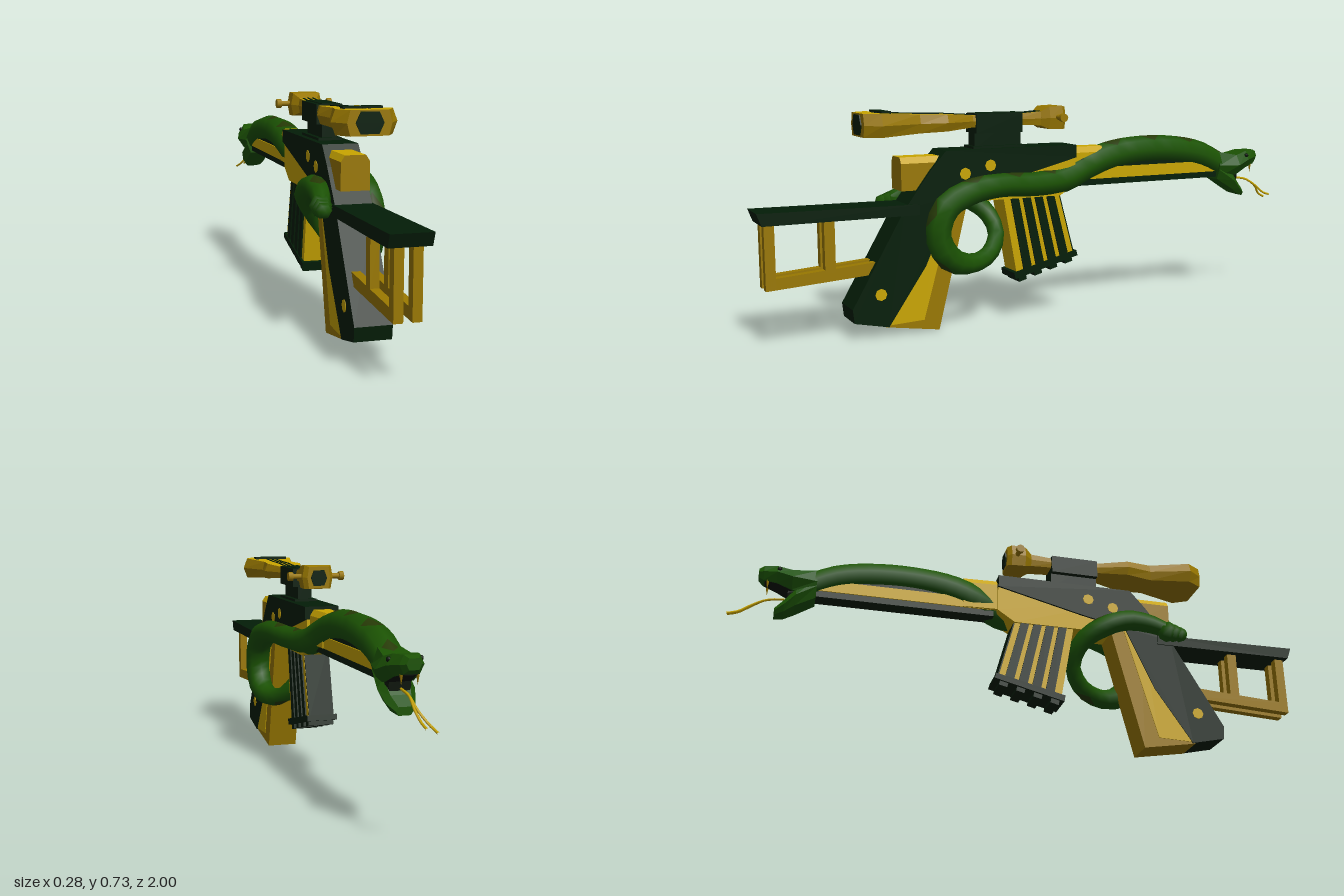
import * as THREE from 'three';

const mat = (name, color) => {
  const m = new THREE.MeshStandardMaterial({ color });
  m.name = name;
  return m;
};

export function createModel() {
  const root = new THREE.Group();
  root.name = 'serpentRifle';
  const dark = mat('dark green', 0x031d07);
  const gold = mat('bright gold', 0xc9a500);
  const dull = mat('dull gold', 0x997800);
  const green = mat('snake green', 0x1b5203);
  const olive = mat('diamond olive', 0x263a06);
  const maw = mat('mouth black green', 0x061004);

  const add = (name, geometry, material, parent = root) => {
    const mesh = new THREE.Mesh(geometry, material);
    mesh.name = name;
    parent.add(mesh);
    return mesh;
  };
  const box = (name, m, x, y, z, w, h, d) =>
    add(name, new THREE.BoxGeometry(w, h, d), m).position.set(x, y, z);

  // Side outline of [z, y] points, extruded across x
  const slab = (name, m, pts, width, x = 0) => {
    const shape = new THREE.Shape(pts.map(p => new THREE.Vector2(p[0], p[1])));
    const g = new THREE.ExtrudeGeometry(shape, { depth: width, bevelEnabled: false });
    g.translate(0, 0, -width / 2).rotateY(-Math.PI / 2).translate(x, 0, 0);
    return add(name, g, m);
  };

  // Flat-shaded loft: rings ordered along +z, points counter-clockwise seen from +z.
  // Sides listed in lit take the second material.
  const loft = (name, m, rings, parent = root, lit = []) => {
    const pos = [], n = rings[0].length, last = rings.length - 1;
    const g = new THREE.BufferGeometry();
    const tri = (...v) => v.forEach(p => pos.push(...p));
    for (let r = 0; r < last; r++) for (let i = 0; i < n; i++) {
      const j = (i + 1) % n, A = rings[r], B = rings[r + 1];
      g.addGroup(pos.length / 3, 6, lit.includes(i) ? 1 : 0);
      tri(A[i], A[j], B[i]);
      tri(A[j], B[j], B[i]);
    }
    g.addGroup(pos.length / 3, (n - 2) * 6, 0);
    for (let i = 1; i < n - 1; i++) {
      tri(rings[0][0], rings[0][i + 1], rings[0][i]);
      tri(rings[last][0], rings[last][i], rings[last][i + 1]);
    }
    g.setAttribute('position', new THREE.Float32BufferAttribute(pos, 3));
    g.computeVertexNormals();
    return add(name, g, [m, gold], parent);
  };
  // Six-sided ring from [z, half width, bottom, top]
  const hex = (k = 0.86) => ([z, w, b, t]) => [[w, (b + t) / 2, z], [k * w, t, z], [-k * w, t, z],
    [-w, (b + t) / 2, z], [-k * w, b, z], [k * w, b, z]];

  // Frame and rear grip
  slab('frame', dark, [[0.71, 0.1], [0.705, 0.055], [0.59, 0.03], [0.46, 0.22], [0.36, 0.44], [0.2, 0.475],
    [-0.1, 0.55], [-0.1, 0.593], [0.385, 0.593], [0.44, 0.53], [0.53, 0.41]], 0.118);
  slab('receiver', gold, [[0.42, 0.42], [-0.04, 0.42], [-0.1, 0.46], [-0.1, 0.56], [0.4, 0.56]], 0.104);

  // Front grip with bright side panels
  slab('frontGrip', dull, [[0.6, 0.03], [0.415, 0], [0.305, 0.44], [0.42, 0.46]], 0.108);
  for (const s of [-1, 1]) {
    slab('gripPanel', gold, [[0.59, 0.035], [0.468, 0.04], [0.355, 0.44], [0.42, 0.45]], 0.004, s * 0.0545);
  }

  // Chamfered housing showing behind and ahead of the frame
  const house = (z, w, t) => [[w, 0.468, z], [w, t - 0.02, z], [w - 0.013, t, z],
    [-w + 0.013, t, z], [-w, t - 0.02, z], [-w, 0.468, z]];
  loft('frontHousing', gold, [house(-0.22, 0.036, 0.583), house(-0.09, 0.042, 0.583)]);
  loft('rearHousing', dull, [house(0.38, 0.046, 0.576), house(0.535, 0.046, 0.576)], root, [1, 2, 3]);

  // Rivets
  for (const [z, y] of [[0.318, 0.515], [0.227, 0.538], [0.615, 0.14]]) {
    const rivet = add('rivet', new THREE.CylinderGeometry(0.02, 0.02, 0.121, 8), gold);
    rivet.rotation.z = Math.PI / 2;
    rivet.position.set(0, y, z);
  }

  // Shoulder stock
  slab('stockBar', dark, [[1, 0.43], [0.985, 0.39], [0.48, 0.39], [0.48, 0.425]], 0.126);
  for (const x of [-0.027, 0.027]) {
    slab('stockEndPost', dull, [[0.975, 0.395], [0.975, 0.184], [0.943, 0.187], [0.943, 0.395]], 0.028, x);
    box('stockMidPost', dull, x, 0.31, 0.772, 0.028, 0.17, 0.034);
    slab('stockRail', dull, [[0.975, 0.184], [0.55, 0.21], [0.55, 0.25], [0.975, 0.22]], 0.028, x);
  }

  // Barrel
  box('barrel', dark, 0, 0.485, -0.45, 0.056, 0.08, 0.68);
  for (const s of [-1, 1]) box('barrelStripe', gold, s * 0.029, 0.487, -0.44, 0.006, 0.04, 0.64);

  // Magazine, laid out in a slanted (u, v) frame
  const magPoint = (u, v) => [(0.175 - 0.205 * u) * (1 - v) + (0.125 - 0.22 * u) * v,
    (0.43 + 0.02 * u) * (1 - v) + (0.155 + 0.055 * u) * v];
  const mag = (name, m, u0, u1, v0, v1, w) =>
    slab(name, m, [magPoint(u0, v0), magPoint(u0, v1), magPoint(u1, v1), magPoint(u1, v0)], w);
  mag('magazine', gold, 0, 1, 0, 1, 0.09);
  for (let i = 0; i < 4; i++) mag('magazineRib', dark, 0.12 + i * 0.215, 0.26 + i * 0.215, 0, 1, 0.1);
  mag('magazineFront', dark, 0.99, 1.02, 0, 1, 0.088);
  mag('magazineBase', dark, -0.05, 1.05, 0.96, 1.04, 0.106);
  for (let i = 0; i < 4; i++) mag('magazineFoot', dark, 0.02 + i * 0.27, 0.15 + i * 0.27, 1.03, 1.1, 0.09);

  // Scope body, mount, lenses and knobs
  const scope = [[0.02, 0.035, 0.662, 0.71], [0.12, 0.033, 0.668, 0.703], [0.28, 0.042, 0.664, 0.704],
    [0.38, 0.074, 0.656, 0.711], [0.47, 0.06, 0.652, 0.713], [0.61, 0.102, 0.645, 0.72], [0.66, 0.068, 0.645, 0.72]];
  loft('scopeBody', dull, scope.map(hex()), root, [1]);
  loft('scopeFront', dull, [[-0.065, 0.04, 0.65, 0.724], [-0.05, 0.054, 0.648, 0.728],
    [0, 0.054, 0.65, 0.726], [0.025, 0.035, 0.662, 0.71]].map(hex()));
  box('scopeMount', dark, 0, 0.65, 0.185, 0.05, 0.12, 0.17);
  box('scopeClamp', dark, 0, 0.676, 0.185, 0.086, 0.064, 0.17);
  box('mountFoot', dark, 0, 0.594, 0.185, 0.08, 0.014, 0.19);
  loft('rearLens', dark, [[0.655, 0.043, 0.651, 0.715], [0.664, 0.043, 0.651, 0.715]].map(hex(0.65)));
  loft('frontLens', dark, [[-0.07, 0.028, 0.66, 0.712], [-0.06, 0.028, 0.66, 0.712]].map(hex(0.65)));
  const top = scope.slice(0, 6).map(([z, , , t]) => [z, t]);
  for (const x of [-0.017, 0, 0.017]) {
    slab('scopeRidge', dark, [...top.map(([z, t]) => [z, t - 0.004]),
      ...top.map(([z, t]) => [z, t + 0.002]).reverse()], 0.007, x);
  }
  box('scopeCrossbar', dark, 0, 0.72, 0.585, 0.122, 0.012, 0.032);
  for (const s of [-1, 1]) {
    for (const [r, len, x] of [[0.009, 0.04, 0.065], [0.015, 0.016, 0.09]]) {
      const knob = add('scopeKnob', new THREE.CylinderGeometry(r, r, len, 8), dull);
      knob.rotation.z = Math.PI / 2;
      knob.position.set(s * x, 0.69, -0.03);
    }
  }

  // Snake body: [x, y, z, radius] from neck to tail
  const spine = [[0, 0.482, -0.76, 0.046], [0, 0.533, -0.65, 0.049], [0, 0.556, -0.52, 0.05], [0, 0.559, -0.38, 0.05],
    [0, 0.543, -0.26, 0.052], [0.006, 0.51, -0.16, 0.052], [0.026, 0.475, -0.07, 0.049], [0.058, 0.466, 0.06, 0.041],
    [0.08, 0.472, 0.2, 0.04], [0.09, 0.458, 0.31, 0.044], [0.09, 0.41, 0.4, 0.046], [0.09, 0.32, 0.428, 0.044],
    [0.088, 0.24, 0.385, 0.043], [0.075, 0.216, 0.31, 0.034], [0.04, 0.238, 0.225, 0.03], [0, 0.3, 0.182, 0.028],
    [-0.045, 0.37, 0.2, 0.032], [-0.076, 0.425, 0.27, 0.038], [-0.08, 0.46, 0.36, 0.038],
    [-0.085, 0.455, 0.44, 0.033], [-0.098, 0.425, 0.52, 0.024]];
  const curve = new THREE.CatmullRomCurve3(spine.map(p => new THREE.Vector3(p[0], p[1], p[2])));
  const rings = 56, sides = 8, pos = [], plain = [], marks = [];
  for (let j = 0; j <= rings; j++) {
    const u = j / rings, f = curve.getUtoTmapping(u) * (spine.length - 1);
    const k = Math.min(Math.floor(f), spine.length - 2);
    const r = THREE.MathUtils.lerp(spine[k][3], spine[k + 1][3], f - k);
    const p = curve.getPointAt(u), t = curve.getTangentAt(u);
    const n = t.clone().cross(new THREE.Vector3(1, 0, 0)).normalize();
    const s = n.clone().cross(t);
    for (let i = 0; i < sides; i++) {
      const a = i / sides * Math.PI * 2;
      pos.push(...p.clone().addScaledVector(n, r * Math.cos(a)).addScaledVector(s, 1.08 * r * Math.sin(a)).toArray());
    }
  }
  // The four triangles around every fourth dorsal vertex form a diamond
  const id = (j, i) => j * sides + i % sides;
  for (let j = 0; j < rings; j++) for (let i = 0; i < sides; i++) {
    const a = id(j, i), b = id(j + 1, i), c = id(j, i + 1), d = id(j + 1, i + 1);
    const centre = j % 4 === 0 ? id(j + 1, 0) : j % 4 === 1 ? id(j, 0) : -1;
    const split = centre === b || centre === c ? [[a, b, d], [a, d, c]] : [[a, b, c], [c, b, d]];
    for (const q of split) (q.includes(centre) ? marks : plain).push(...q);
  }
  const snake = new THREE.BufferGeometry();
  snake.setAttribute('position', new THREE.Float32BufferAttribute(pos, 3));
  snake.setIndex([...plain, ...marks]);
  snake.addGroup(0, plain.length, 0);
  snake.addGroup(plain.length, marks.length, 1);
  snake.computeVertexNormals();
  add('snakeBody', snake, [green, olive]);

  // Rattle at the tail tip
  for (let i = 0; i < 3; i++) {
    const bead = add('rattle', new THREE.SphereGeometry(0.037 - i * 0.005, 6, 4), green);
    bead.position.set(-0.099 - i * 0.002, 0.424 - i * 0.004, 0.505 + i * 0.022);
    bead.rotation.x = Math.PI / 2;
  }

  // Snake head with open jaws
  const head = new THREE.Group();
  head.name = 'snakeHead';
  root.add(head);
  loft('upperJaw', green, [[-0.912, 0.022, 0.5, 0.532], [-0.895, 0.036, 0.487, 0.54], [-0.85, 0.056, 0.475, 0.538],
    [-0.8, 0.07, 0.452, 0.525], [-0.72, 0.052, 0.44, 0.54]].map(hex(0.65)), head);
  loft('lowerJaw', green, [[-0.85, 0.026, 0.366, 0.39], [-0.82, 0.044, 0.375, 0.418], [-0.785, 0.056, 0.398, 0.462],
    [-0.72, 0.048, 0.437, 0.51]].map(hex(0.7)), head);
  loft('mouth', maw, [[-0.812, 0.034, 0.416, 0.47], [-0.77, 0.046, 0.42, 0.48]].map(hex(0.8)), head);
  loft('palate', maw, [[-0.89, 0.022, 0.483, 0.492], [-0.85, 0.034, 0.471, 0.482],
    [-0.8, 0.042, 0.448, 0.46]].map(hex(0.8)), head);
  for (const s of [-1, 1]) {
    const fang = add('fang', new THREE.ConeGeometry(0.006, 0.035, 6), dull, head);
    fang.position.set(s * 0.024, 0.472, -0.88);
    fang.rotation.x = Math.PI;
    const eye = add('eye', new THREE.SphereGeometry(0.008, 8, 6), maw, head);
    eye.position.set(s * 0.047, 0.522, -0.845);
    const path = new THREE.CatmullRomCurve3([[0, 0.435, -0.82], [0, 0.425, -0.88], [s * 0.004, 0.395, -0.93],
      [s * 0.012 - 0.012, 0.365 + s * 0.004, -0.965], [s * 0.016 - 0.018, 0.352 + s * 0.006, -0.998]]
      .map(p => new THREE.Vector3(...p)));
    add('tongue', new THREE.TubeGeometry(path, 12, 0.004, 5), gold, head);
  }
  return root;
}
